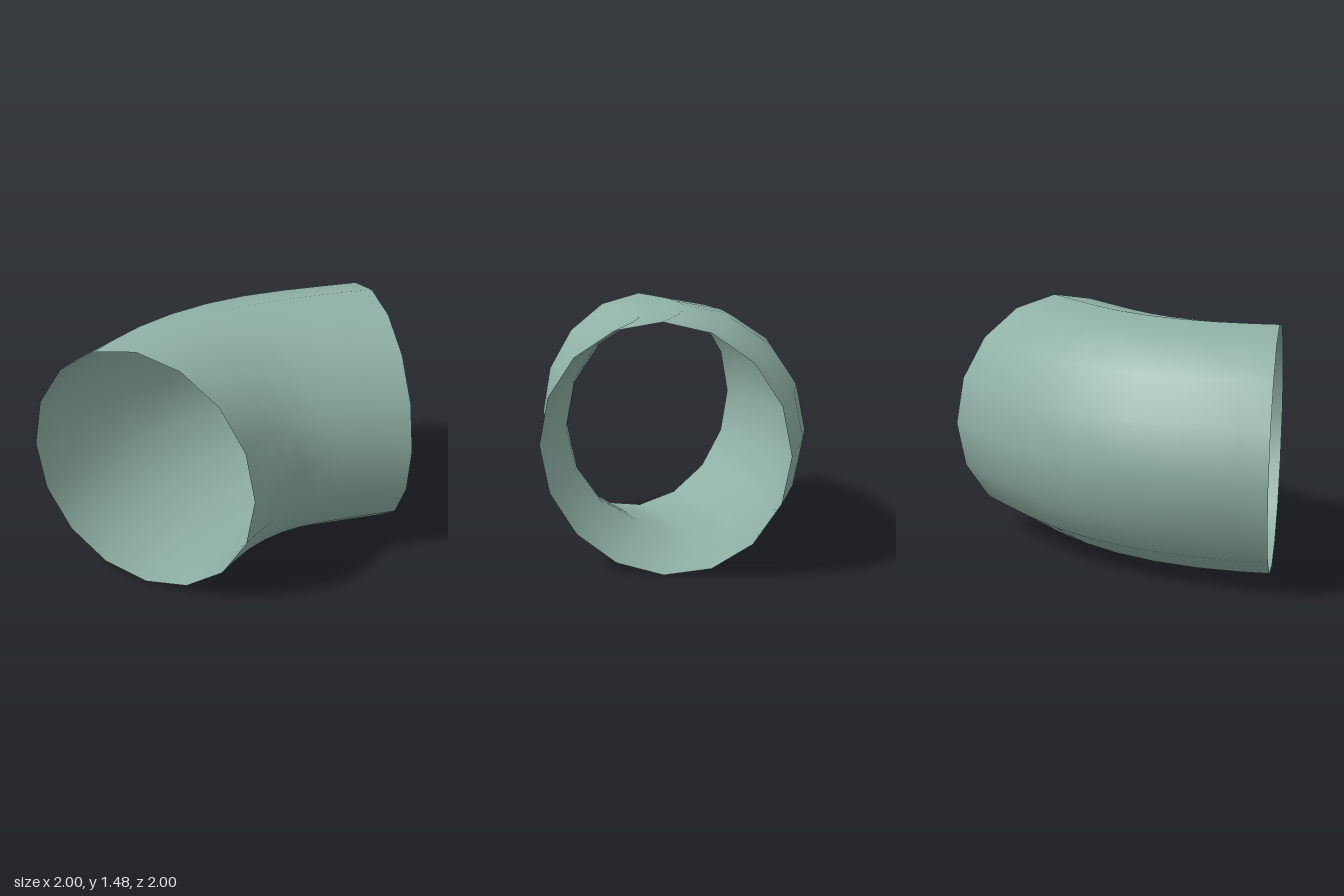
import * as THREE from 'three';

const RADIUS = 0.738;
const SIDES = 16;

// Centre line of the bend: x, z and turn in degrees of each ring
const RINGS = [
  [-0.262, 1.0, 0],
  [-0.261, 0.84, 2],
  [-0.243, 0.62, 9.3],
  [-0.191, 0.402, 17.7],
  [-0.108, 0.2, 27],
  [0.005, 0.018, 36],
  [0.151, -0.154, 42.5],
  [0.31, -0.314, 45],
  [0.478, -0.478, 45],
];

// Open tube lofted through round sections that stand upright and turn about y
function loftPipe() {
  const positions = [];
  const index = [];
  RINGS.forEach(([x, z, degrees], i) => {
    const turn = THREE.MathUtils.degToRad(degrees);
    for (let j = 0; j < SIDES; j++) {
      const a = (j / SIDES) * Math.PI * 2;
      const out = RADIUS * Math.cos(a);
      positions.push(
        x + out * Math.cos(turn),
        RADIUS + RADIUS * Math.sin(a),
        z + out * Math.sin(turn)
      );
      if (i < RINGS.length - 1) {
        const next = (j + 1) % SIDES;
        const A = i * SIDES + j;
        const B = i * SIDES + next;
        index.push(A, A + SIDES, B, B, A + SIDES, B + SIDES);
      }
    }
  });
  const geometry = new THREE.BufferGeometry();
  geometry.setAttribute('position', new THREE.Float32BufferAttribute(positions, 3));
  geometry.setIndex(index);
  geometry.computeVertexNormals();
  return geometry;
}

export function createModel() {
  const group = new THREE.Group();
  group.name = 'pipeElbow';
  const material = new THREE.MeshStandardMaterial({ color: 0x8fb0a6, side: THREE.DoubleSide });

  // Thin-walled pipe, open at both ends
  const pipe = new THREE.Mesh(loftPipe(), material);
  pipe.name = 'bentPipe';
  group.add(pipe);
  return group;
}
